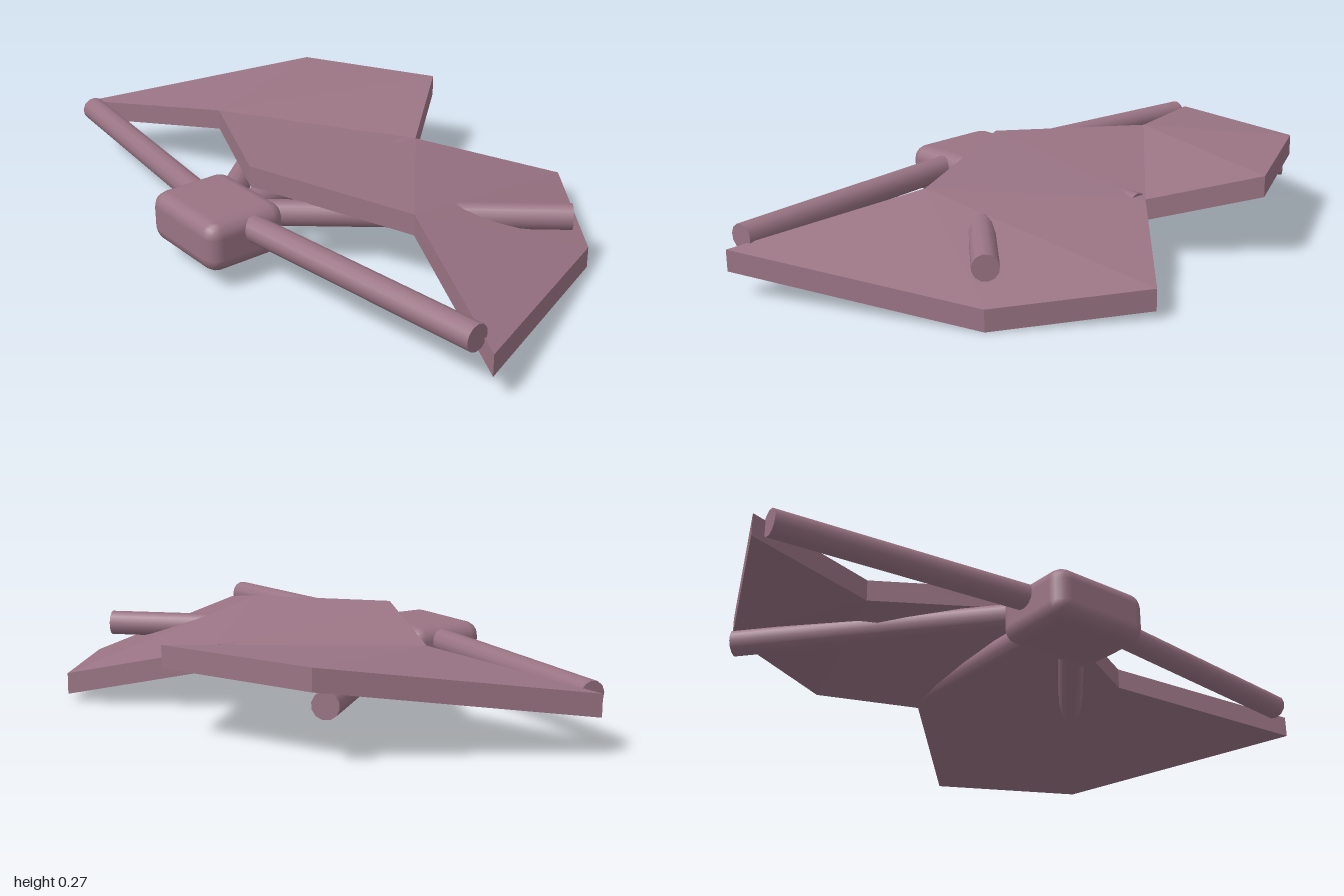
import * as THREE from 'three';
import { RoundedBoxGeometry } from 'three/addons/geometries/RoundedBoxGeometry.js';

const mauve = new THREE.MeshStandardMaterial({ color: 0x9a7484 });
mauve.name = 'mauve';

function addMesh(group, name, geometry) {
  const mesh = new THREE.Mesh(geometry, mauve);
  mesh.name = name;
  group.add(mesh);
  return mesh;
}

// Twisted two-winged plate: upper outline, dropped by a constant thickness
function wingPlateGeometry() {
  const thickness = 0.065;
  const outline = [
    [-0.03, 0.275, 0.36], [0.455, 0.24, 0.145], [1, 0.14, 0.36],
    [0.675, 0.066, -0.34], [0.295, 0.09, -0.61], [-0.03, 0.188, -0.285],
    [-0.25, 0.27, -0.555], [-0.68, 0.265, -0.34], [-1, 0.175, 0.36],
    [-0.515, 0.24, 0.145],
  ];
  const faces = [
    [0, 1, 5], [1, 4, 5], [1, 3, 4], [1, 2, 3],
    [0, 5, 9], [9, 5, 6], [9, 6, 7], [9, 7, 8],
  ];
  const top = (i) => outline[i];
  const bottom = (i) => [outline[i][0], outline[i][1] - thickness, outline[i][2]];
  const positions = [];
  const tri = (a, b, c) => positions.push(...a, ...b, ...c);
  for (const [a, b, c] of faces) {
    tri(top(a), top(b), top(c));
    tri(bottom(a), bottom(c), bottom(b));
  }
  for (let i = 0; i < outline.length; i++) {
    const j = (i + 1) % outline.length;
    tri(top(i), bottom(i), bottom(j));
    tri(top(i), bottom(j), top(j));
  }
  const geometry = new THREE.BufferGeometry();
  geometry.setAttribute('position', new THREE.Float32BufferAttribute(positions, 3));
  geometry.computeVertexNormals();
  return geometry;
}

export function createModel() {
  const group = new THREE.Group();
  group.name = 'wingedFrame';

  addMesh(group, 'wingPlate', wingPlateGeometry());

  // Rounded block at the front
  addMesh(group, 'body', new RoundedBoxGeometry(0.325, 0.155, 0.265, 2, 0.045))
    .position.set(-0.033, 0.1325, 0.476);

  // Five level struts fanning out from the body
  const hub = new THREE.Vector3(-0.03, 0.162, 0.47);
  const struts = {
    leftFrontStrut: [0.945, 0.365],
    rightFrontStrut: [-0.955, 0.365],
    leftRearStrut: [0.635, -0.305],
    rightRearStrut: [-0.69, -0.305],
    tailStrut: [-0.03, -0.255],
  };
  for (const [name, [x, z]] of Object.entries(struts)) {
    const end = new THREE.Vector3(x, hub.y, z);
    const direction = end.clone().sub(hub);
    const strut = addMesh(group, name, new THREE.CylinderGeometry(0.039, 0.039, direction.length(), 12));
    strut.position.copy(hub).add(end).multiplyScalar(0.5);
    strut.quaternion.setFromUnitVectors(new THREE.Vector3(0, 1, 0), direction.normalize());
  }
  return group;
}
